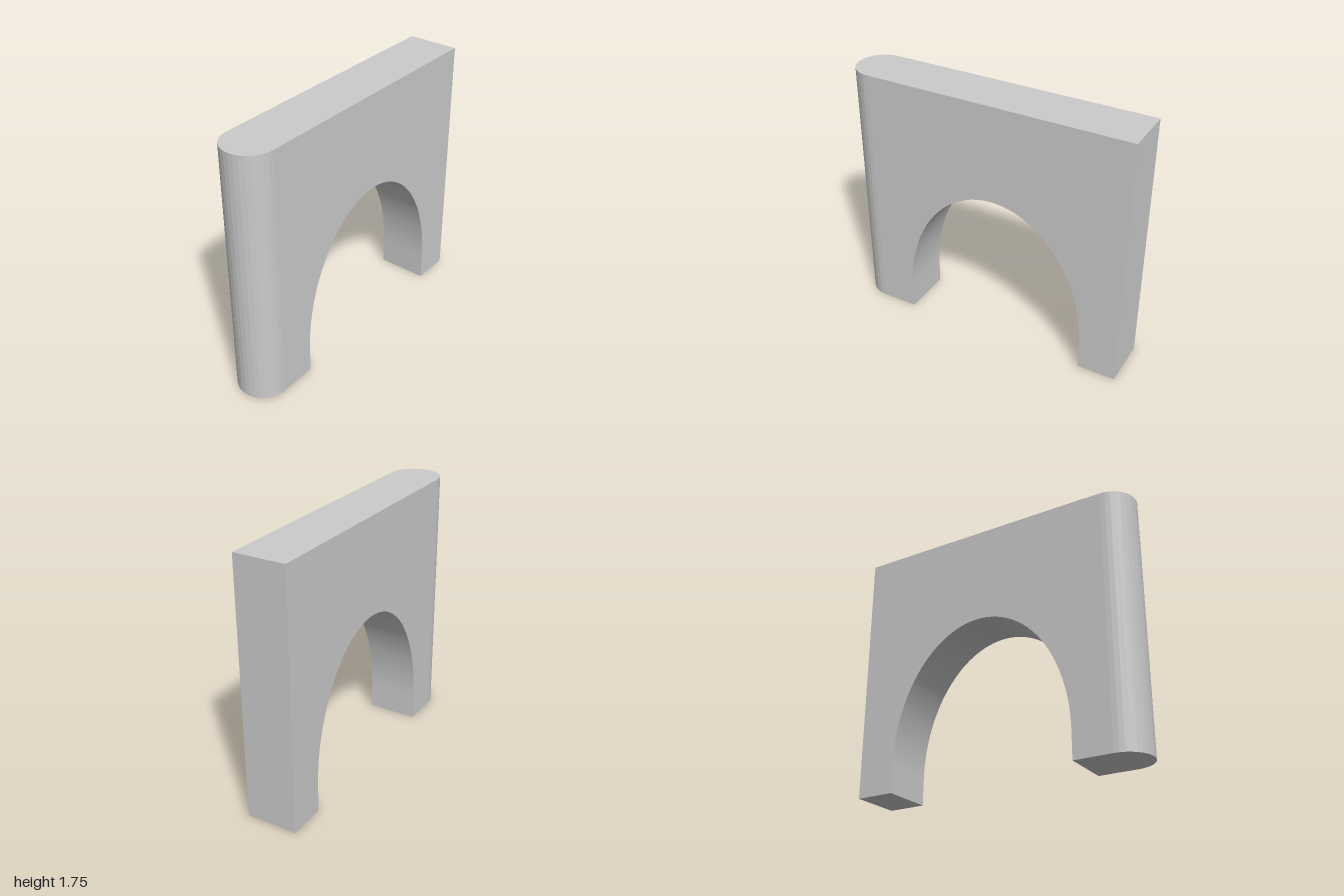
import * as THREE from 'three';

export function createModel() {
  const group = new THREE.Group();
  const material = new THREE.MeshStandardMaterial({ color: 0xcccccc, flatShading: true });
  const height = 1.755, radius = 0.175, endX = -1 + radius;
  const archX = 0.085, archHalf = 0.652, springY = 0.18, archTop = 1.087;

  // Wall with the arched opening cut up from the ground
  const outline = new THREE.Shape();
  outline.moveTo(endX, 0);
  outline.lineTo(archX - archHalf, 0);
  outline.lineTo(archX - archHalf, springY);
  outline.absellipse(archX, springY, archHalf, archTop - springY, Math.PI, 0, true);
  outline.lineTo(archX + archHalf, 0);
  outline.lineTo(1, 0);
  outline.lineTo(1, height);
  outline.lineTo(endX, height);
  outline.closePath();
  const wallGeometry = new THREE.ExtrudeGeometry(outline, {
    depth: radius * 2, bevelEnabled: false, curveSegments: 64,
  });
  wallGeometry.translate(0, 0, -radius);
  const wall = new THREE.Mesh(wallGeometry, material);
  wall.name = 'archedWall';
  group.add(wall);

  // Half-round end of the wall
  const end = new THREE.Mesh(
    new THREE.CylinderGeometry(radius, radius, height, 16, 1, false, Math.PI, Math.PI),
    material,
  );
  end.name = 'roundedEnd';
  end.position.set(endX, height / 2, 0);
  group.add(end);

  return group;
}
